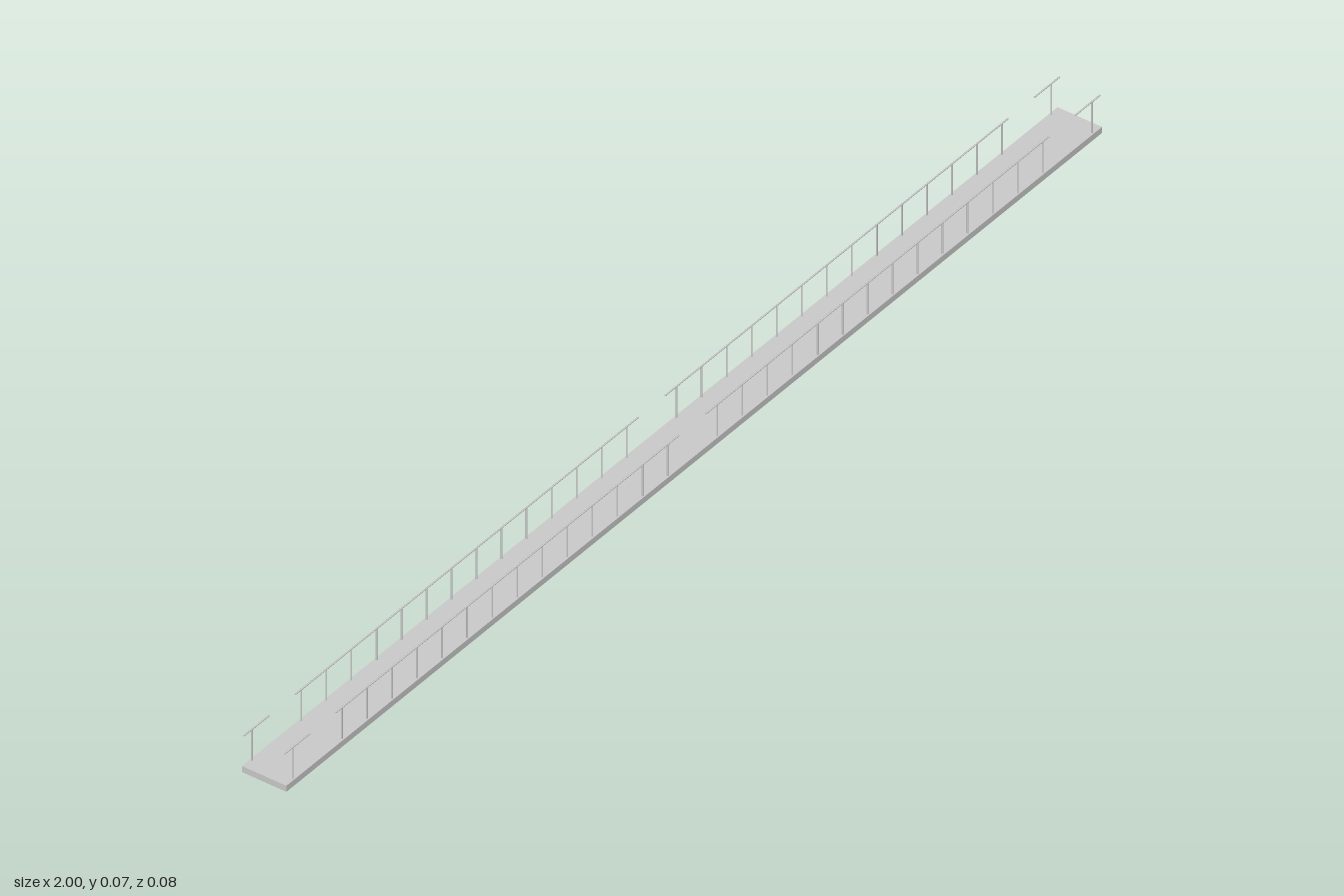
import * as THREE from 'three';

const DECK_TOP = 0.011, RAIL_TOP = 0.069, RAIL_Z = 0.037, RADIUS = 0.0013;
const material = new THREE.MeshStandardMaterial({ color: 0xcccccc });

function addMesh(parent, geometry, name, x, y, z) {
  const mesh = new THREE.Mesh(geometry, material);
  mesh.name = name;
  mesh.position.set(x, y, z);
  parent.add(mesh);
  return mesh;
}

// One handrail run from x0 to x1 carried by posts at the given x positions
function railing(x0, x1, posts, z, name) {
  const group = new THREE.Group();
  group.name = name;
  const railY = RAIL_TOP - RADIUS;
  const rail = new THREE.CylinderGeometry(RADIUS, RADIUS, x1 - x0, 10).rotateZ(Math.PI / 2);
  addMesh(group, rail, 'handrail', (x0 + x1) / 2, railY, z);
  const height = railY - DECK_TOP;
  const post = new THREE.CylinderGeometry(RADIUS, RADIUS, height, 10);
  for (const x of posts) addMesh(group, post, 'railPost', x, DECK_TOP + height / 2, z);
  return group;
}

export function createModel() {
  const model = new THREE.Group();
  model.name = 'walkway';

  // Long flat deck
  addMesh(model, new THREE.BoxGeometry(2, DECK_TOP, 0.081), 'deck', 0, DECK_TOP / 2, 0);

  // Evenly spaced posts of a long run
  const longPosts = Array.from({ length: 14 }, (_, i) => 0.061 + i * 0.0614);

  // Long and short runs, mirrored across both axes, with open gaps between
  for (const z of [RAIL_Z, -RAIL_Z]) {
    const side = z > 0 ? 'front' : 'back';
    model.add(railing(0.033, 0.874, longPosts, z, side + 'LeftRailing'));
    model.add(railing(-0.874, -0.033, longPosts.map((x) => -x), z, side + 'RightRailing'));
    model.add(railing(0.938, 1, [0.98], z, side + 'LeftEndRailing'));
    model.add(railing(-1, -0.938, [-0.98], z, side + 'RightEndRailing'));
  }
  return model;
}
